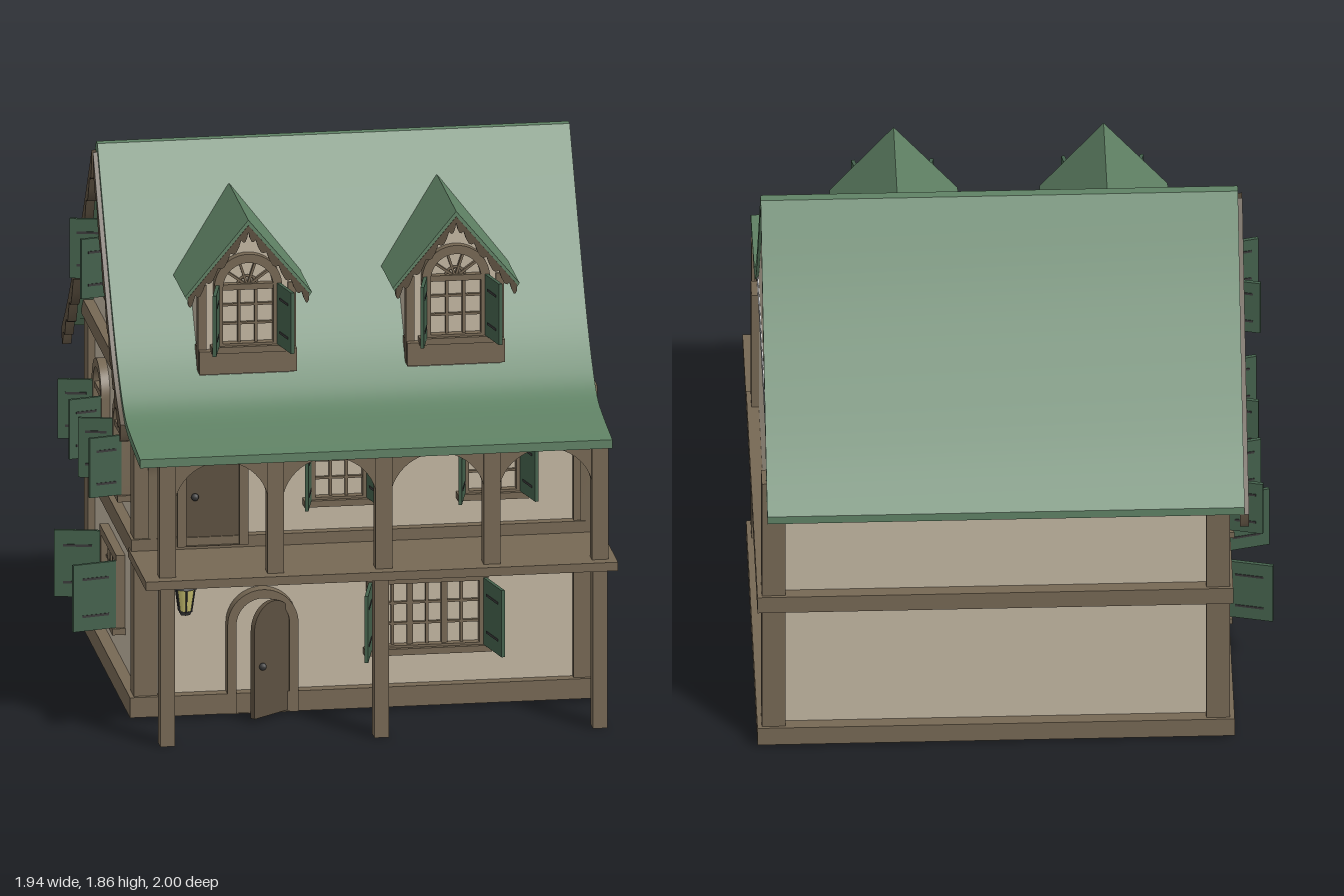
import * as THREE from 'three';
import { toCreasedNormals } from 'three/addons/utils/BufferGeometryUtils.js';

const mat = (c) => new THREE.MeshStandardMaterial({ color: c });
const M = {
  wall: mat(0xc2b6a2), timber: mat(0x766854), dark: mat(0x5c5040), roof: mat(0x608265),
  shutter: mat(0x44614c), grey: mat(0xcccccc), iron: mat(0x3a3a3a), lamp: mat(0xc8c070),
};

function add(parent, geo, m, name, x = 0, y = 0, z = 0) {
  const mesh = new THREE.Mesh(geo, m);
  mesh.name = name;
  mesh.position.set(x, y, z);
  parent.add(mesh);
  return mesh;
}

// Box given by its limits on each axis
function block(parent, m, name, [x0, x1], [y0, y1], [z0, z1]) {
  return add(parent, new THREE.BoxGeometry(x1 - x0, y1 - y0, z1 - z0), m, name,
    (x0 + x1) / 2, (y0 + y1) / 2, (z0 + z1) / 2);
}

const extrude = (shape, depth) => toCreasedNormals(
  new THREE.ExtrudeGeometry(shape, { depth, bevelEnabled: false, curveSegments: 12 }), 0.5);
const poly = (pts) => new THREE.Shape(pts.map(([x, y]) => new THREE.Vector2(x, y)));

// (z, y) outline extruded from x0 to x1
function alongX(pts, x0, x1) {
  return extrude(poly(pts), x1 - x0).rotateY(-Math.PI / 2).translate(x1, 0, 0);
}

// Opening outline standing on y0, with a round or flat head
function opening(Type, w, y0, h, arched) {
  const s = new Type(), r = w / 2;
  s.moveTo(-r, y0);
  s.lineTo(r, y0);
  if (arched) {
    s.lineTo(r, h - r);
    s.absarc(0, h - r, r, 0, Math.PI, false);
  } else {
    s.lineTo(r, h);
    s.lineTo(-r, h);
  }
  s.lineTo(-r, y0);
  return s;
}

// Window with frame, sill, glazing bars and two open shutters, facing +z
function makeWindow(w, h, { arched = false, cols = 3, rows = 3, leaf = w * 0.55 } = {}) {
  const g = new THREE.Group(), b = 0.03, iw = w - 2 * b;
  g.name = 'window';
  const frame = opening(THREE.Shape, w, 0, h, arched);
  frame.holes.push(opening(THREE.Path, iw, b, h - b, arched));
  add(g, extrude(frame, 0.03), M.timber, 'windowFrame');
  block(g, M.timber, 'sill', [-w / 2 - 0.01, w / 2 + 0.01], [0, 0.022], [0, 0.045]);
  const top = arched ? h - w / 2 : h - b;
  for (let i = 1; i < cols; i++) {
    const x = -iw / 2 + iw * i / cols, t = cols > 3 && i % 2 === 0 ? 0.01 : 0.005;
    block(g, M.timber, 'glazingBar', [x - t, x + t], [b, top], [0, 0.015]);
  }
  for (let j = 1; j < rows; j++) {
    const y = b + (top - b) * j / rows;
    block(g, M.timber, 'glazingBar', [-iw / 2, iw / 2], [y - 0.004, y + 0.004], [0, 0.012]);
  }
  if (arched) {
    block(g, M.timber, 'transom', [-iw / 2, iw / 2], [top - 0.01, top + 0.01], [0, 0.025]);
    for (let k = 1; k < 5; k++) {
      const a = Math.PI * k / 5, r = iw / 2;
      const bar = add(g, new THREE.BoxGeometry(r, 0.008, 0.015), M.timber, 'fanBar',
        Math.cos(a) * r / 2, top + Math.sin(a) * r / 2, 0.0075);
      bar.rotation.z = a;
    }
    add(g, new THREE.TorusGeometry(iw / 5, 0.005, 4, 10, Math.PI), M.timber, 'fanArc', 0, top, 0.008);
  }
  for (const s of [-1, 1]) {
    const hinge = new THREE.Group();
    hinge.name = 'shutter';
    hinge.position.set(s * (w / 2 - 0.012), 0, 0.025);
    hinge.rotation.y = s * 1.8;
    const mid = -s * leaf / 2;
    block(hinge, M.shutter, 'shutterPanel', [mid - leaf / 2, mid + leaf / 2], [b - 0.008, top + 0.01], [-0.006, 0.006]);
    for (const f of [0.2, 0.8]) {
      const y = b + (top - b) * f;
      block(hinge, M.iron, 'strapHinge', [mid - leaf * 0.3, mid + leaf * 0.3], [y - 0.004, y + 0.004], [-0.008, 0.008]);
    }
    g.add(hinge);
  }
  return g;
}

// Arched door, hinged on its right side
function makeDoor(w, h, angle) {
  const g = new THREE.Group();
  g.name = 'door';
  const frame = opening(THREE.Shape, w, 0, h, true);
  frame.holes.push(opening(THREE.Path, w - 0.06, 0.002, h - 0.03, true));
  add(g, extrude(frame, 0.045), M.timber, 'doorFrame');
  const lw = w - 0.06, leaf = new THREE.Group();
  leaf.name = 'doorLeaf';
  leaf.position.set(lw / 2, 0, 0.012);
  leaf.rotation.y = angle;
  add(leaf, extrude(opening(THREE.Shape, lw, 0.005, h - 0.03, true), 0.018), M.dark, 'doorPanel', -lw / 2);
  add(leaf, new THREE.SphereGeometry(0.013, 10, 8), M.iron, 'doorKnob', -lw + 0.03, h * 0.43, 0.028);
  g.add(leaf);
  return g;
}

// Row of round arches from x0 to x1, facing +z
function arcade(x0, x1, n, thick) {
  const y0 = 0.59, top = 1.03, step = (x1 - x0) / n, r = step / 2 - 0.022;
  const s = new THREE.Shape();
  s.moveTo(x0, y0);
  for (let i = 0; i < n; i++) {
    const c = x0 + step * (i + 0.5);
    s.lineTo(c - r, y0);
    s.lineTo(c - r, 0.985 - r);
    s.absarc(c, 0.985 - r, r, Math.PI, 0, true);
    s.lineTo(c + r, y0);
  }
  s.lineTo(x1, y0);
  s.lineTo(x1, top);
  s.lineTo(x0, top);
  return extrude(s, thick).translate(0, 0, -thick / 2);
}

// Scalloped board hanging below a line of points
function scallops(line, n, drop) {
  const curve = new THREE.SplineCurve(line.map(([x, y]) => new THREE.Vector2(x, y)));
  const up = [], low = [];
  for (let i = 0; i <= n * 4; i++) {
    const p = curve.getPoint(i / (n * 4));
    up.push([p.x, p.y]);
    low.unshift([p.x, p.y - drop * (0.5 + 0.5 * Math.abs(Math.sin(Math.PI * i / 4)))]);
  }
  return [...up, ...low];
}

export function createModel() {
  const model = new THREE.Group();
  model.name = 'house';
  const house = new THREE.Group();
  house.name = 'building';
  house.rotation.y = -0.2246;
  model.add(house);

  // Main roof: concave slopes with a flared front eave
  const backLine = [[-0.84, 1.045], [-0.67, 1.215], [-0.37, 1.575], [-0.16, 1.86]];
  const frontLine = [[-0.13, 1.86], [0.07, 1.565], [0.25, 1.315], [0.38, 1.175], [0.494, 1.09], [0.62, 1.062], [0.84, 1.04]];
  const smooth = (l, n) => new THREE.SplineCurve(l.map(([x, y]) => new THREE.Vector2(x, y))).getPoints(n).map((p) => [p.x, p.y]);
  const top = [...smooth(backLine, 12), ...smooth(frontLine, 24)];
  const under = top.map(([z, y]) => [z, y - (y > 1.1 ? 0.05 : 0.03)]).reverse();
  add(house, alongX([...top, ...under], -0.81, 0.79), M.roof, 'mainRoof');

  // Walls with both gables
  const heads = top.filter(([z]) => z > -0.7 && z < 0.37).map(([z, y]) => [z, y - 0.025]);
  add(house, alongX([[0.37, 0.03], [0.37, 1.15], ...heads.reverse(), [-0.7, 1.14], [-0.7, 0.03]], -0.74, 0.78), M.wall, 'walls');
  block(house, M.grey, 'gableStrip', [0.7, 0.784], [1.1, 1.155], [-0.66, 0.37]);

  // Plinth, belt and corner posts
  block(house, M.timber, 'plinth', [-0.78, 0.82], [0.01, 0.08], [-0.74, 0.41]);
  block(house, M.timber, 'belt', [-0.775, 0.82], [0.565, 0.63], [-0.74, 0.405]);
  for (const x of [-0.725, 0.765]) for (const z of [-0.69, 0.355])
    block(house, M.timber, 'cornerPost', [x - 0.04, x + 0.04], [0.05, 1.1], [z - 0.04, z + 0.04]);
  block(house, M.timber, 'gableBeam', [-0.775, -0.73], [1.09, 1.15], [-0.72, 0.4]);
  block(house, M.timber, 'collarBeam', [-0.765, -0.73], [1.27, 1.31], [-0.55, 0.22]);

  // Scalloped boards on the left gable
  for (const line of [backLine, frontLine.slice(0, 5)])
    add(house, alongX(scallops(line.map(([z, y]) => [z, y - 0.03]), 9, 0.075), -0.825, -0.795), M.dark, 'bargeBoard');

  // Balcony and arcade
  block(house, M.timber, 'balconyFloor', [-0.78, 0.82], [0.56, 0.59], [0.36, 0.77]);
  const pL = -0.7, pR = 0.765, pz = 0.705, bays = 4;
  for (const x of [pL, 0.025, pR])
    block(house, M.timber, 'balconyPost', [x - 0.025, x + 0.025], [0, 0.57], [pz - 0.025, pz + 0.025]);
  for (let i = 0; i <= bays; i++) {
    const x = pL + (pR - pL) * i / bays;
    block(house, M.timber, 'arcadePost', [x - 0.028, x + 0.028], [0.585, 1.03], [pz - 0.025, pz + 0.025]);
  }
  add(house, arcade(pL, pR, bays, 0.035), M.timber, 'frontArcade', 0, 0, pz);
  for (const x of [pL, pR])
    add(house, arcade(-pz, -0.38, 1, 0.035), M.timber, 'sideArcade', x).rotation.y = Math.PI / 2;

  // Doors and front windows
  const place = (obj, x, y, z, ry = 0) => {
    obj.position.set(x, y, z);
    obj.rotation.y = ry;
    house.add(obj);
  };
  place(makeDoor(0.24, 0.43, 0.65), -0.33, 0.01, 0.37);
  place(makeDoor(0.24, 0.4, 0), -0.5, 0.6, 0.37);
  place(makeWindow(0.41, 0.275, { cols: 6, leaf: 0.17 }), 0.23, 0.19, 0.37);
  for (const x of [-0.07, 0.45])
    place(makeWindow(0.22, 0.245, { leaf: 0.14 }), x, 0.72, 0.37);

  // Left side windows
  const left = -Math.PI / 2;
  place(makeWindow(0.38, 0.275, { cols: 6, leaf: 0.16 }), -0.74, 0.19, -0.16, left);
  for (const z of [-0.42, 0.04])
    place(makeWindow(0.22, 0.33, { arched: true, leaf: 0.12 }), -0.74, 0.69, z, left);
  place(makeWindow(0.22, 0.33, { arched: true, leaf: 0.12 }), -0.74, 1.33, -0.15, left);

  // Dormers
  for (const cx of [-0.378, 0.326]) {
    const d = new THREE.Group();
    d.name = 'dormer';
    d.position.x = cx;
    const body = poly([[-0.16, 1.15], [0.16, 1.15], [0.16, 1.5], [0, 1.69], [-0.16, 1.5]]);
    add(d, extrude(body, 0.42), M.wall, 'dormerWalls', 0, 0, -0.05);
    const cover = poly([[-0.215, 1.47], [-0.205, 1.455], [0, 1.7], [0.205, 1.455], [0.215, 1.47], [0, 1.73]]);
    add(d, extrude(cover, 0.44), M.roof, 'dormerRoof', 0, 0, -0.037);
    for (const s of [-1, 1]) {
      const board = poly(scallops([[-0.205, 1.467], [0, 1.712]], 6, 0.045));
      const b = add(d, extrude(board, 0.015), M.dark, 'dormerBargeBoard', 0, 0, s < 0 ? 0.39 : 0.405);
      if (s > 0) b.rotation.y = Math.PI;
    }
    block(d, M.timber, 'dormerApron', [-0.165, 0.165], [1.195, 1.275], [0.3, 0.4]);
    for (const s of [-1, 1])
      block(d, M.timber, 'dormerPost', [s * 0.152 - 0.014, s * 0.152 + 0.014], [1.2, 1.5], [0.34, 0.376]);
    const win = makeWindow(0.23, 0.34, { arched: true, leaf: 0.13 });
    win.position.set(0, 1.27, 0.37);
    d.add(win);
    house.add(d);
  }

  // Wall lantern
  const lantern = new THREE.Group();
  lantern.name = 'lantern';
  lantern.position.set(-0.595, 0.42, 0.42);
  add(lantern, new THREE.CylinderGeometry(0.034, 0.022, 0.08, 6), M.lamp, 'lanternGlass');
  add(lantern, new THREE.CylinderGeometry(0.008, 0.043, 0.028, 6), M.iron, 'lanternCap', 0, 0.053);
  add(lantern, new THREE.CylinderGeometry(0.025, 0.018, 0.014, 6), M.iron, 'lanternBase', 0, -0.046);
  for (let i = 0; i < 6; i++) {
    const a = i * Math.PI / 3;
    const bar = add(lantern, new THREE.CylinderGeometry(0.003, 0.003, 0.084, 4), M.iron, 'lanternBar',
      Math.sin(a) * 0.029, 0, Math.cos(a) * 0.029);
    bar.rotation.set(Math.cos(a) * 0.15, 0, -Math.sin(a) * 0.15);
  }
  block(lantern, M.iron, 'lanternBracket', [-0.005, 0.005], [0.06, 0.07], [-0.055, 0.005]);
  house.add(lantern);

  return model;
}
